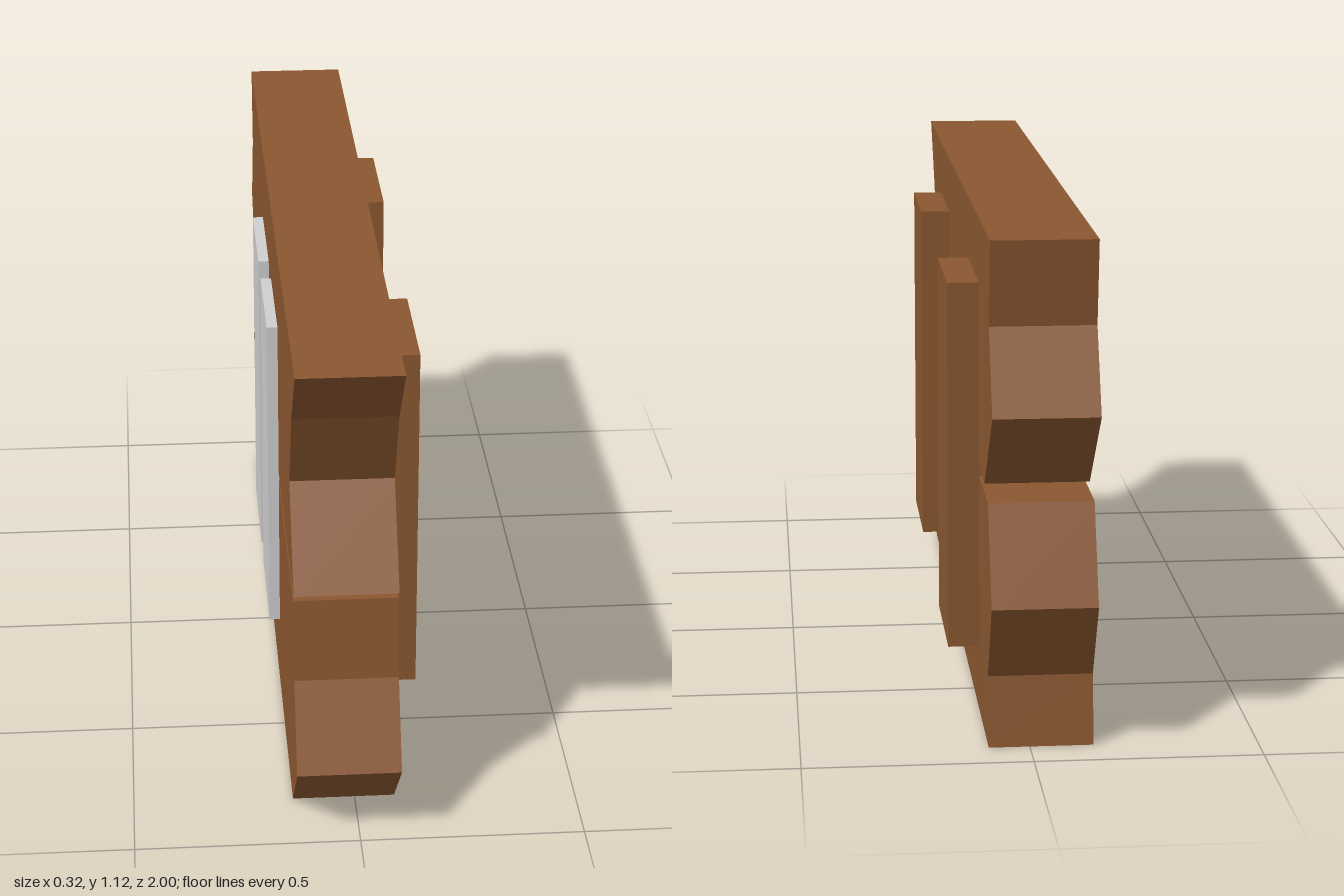
import * as THREE from 'three';

export function createModel() {
  const wood = new THREE.MeshStandardMaterial({ color: 0x8b5730 });
  wood.name = 'brown wood';
  const metal = new THREE.MeshStandardMaterial({ color: 0xcfcfcf });
  metal.name = 'pale grey';

  const group = new THREE.Group();
  group.name = 'brokenPlankSign';

  // Plank with jagged ends: outline of [z, y] points, extruded across x
  function plank(name, outline) {
    const shape = new THREE.Shape(outline.map(([z, y]) => new THREE.Vector2(-z, y)));
    const geo = new THREE.ExtrudeGeometry(shape, { depth: 0.23, bevelEnabled: false });
    geo.rotateY(Math.PI / 2).translate(-0.14, 0, 0);
    const mesh = new THREE.Mesh(geo, wood);
    mesh.name = name;
    group.add(mesh);
  }

  // Box given by its extents along each axis
  function block(name, material, [x0, x1], [y0, y1], [z0, z1]) {
    const mesh = new THREE.Mesh(new THREE.BoxGeometry(x1 - x0, y1 - y0, z1 - z0), material);
    mesh.position.set((x0 + x1) / 2, (y0 + y1) / 2, (z0 + z1) / 2);
    mesh.name = name;
    group.add(mesh);
  }

  plank('upperPlank', [
    [0.98, 1.125], [0.845, 0.967], [0.76, 0.777], [0.897, 0.566],
    [-0.797, 0.566], [-1, 0.757], [-0.913, 0.937], [-0.94, 1.125],
  ]);
  plank('lowerPlank', [
    [0.88, 0.546], [0.905, 0.36], [1, 0.174], [0.823, 0],
    [-0.905, 0], [-0.88, 0.155], [-0.98, 0.335], [-0.888, 0.546],
  ]);

  // Battens joining the planks on one face
  block('frontBatten', wood, [0.08, 0.16], [0.16, 0.99], [0.277, 0.587]);
  block('backBatten', wood, [0.08, 0.16], [0.15, 0.983], [-0.65, -0.34]);

  // Pale plates on the other face
  block('frontPlate', metal, [-0.165, -0.113], [0.172, 0.94], [0.022, 0.307]);
  block('backPlate', metal, [-0.165, -0.113], [0.172, 0.94], [-0.368, -0.083]);

  return group;
}
